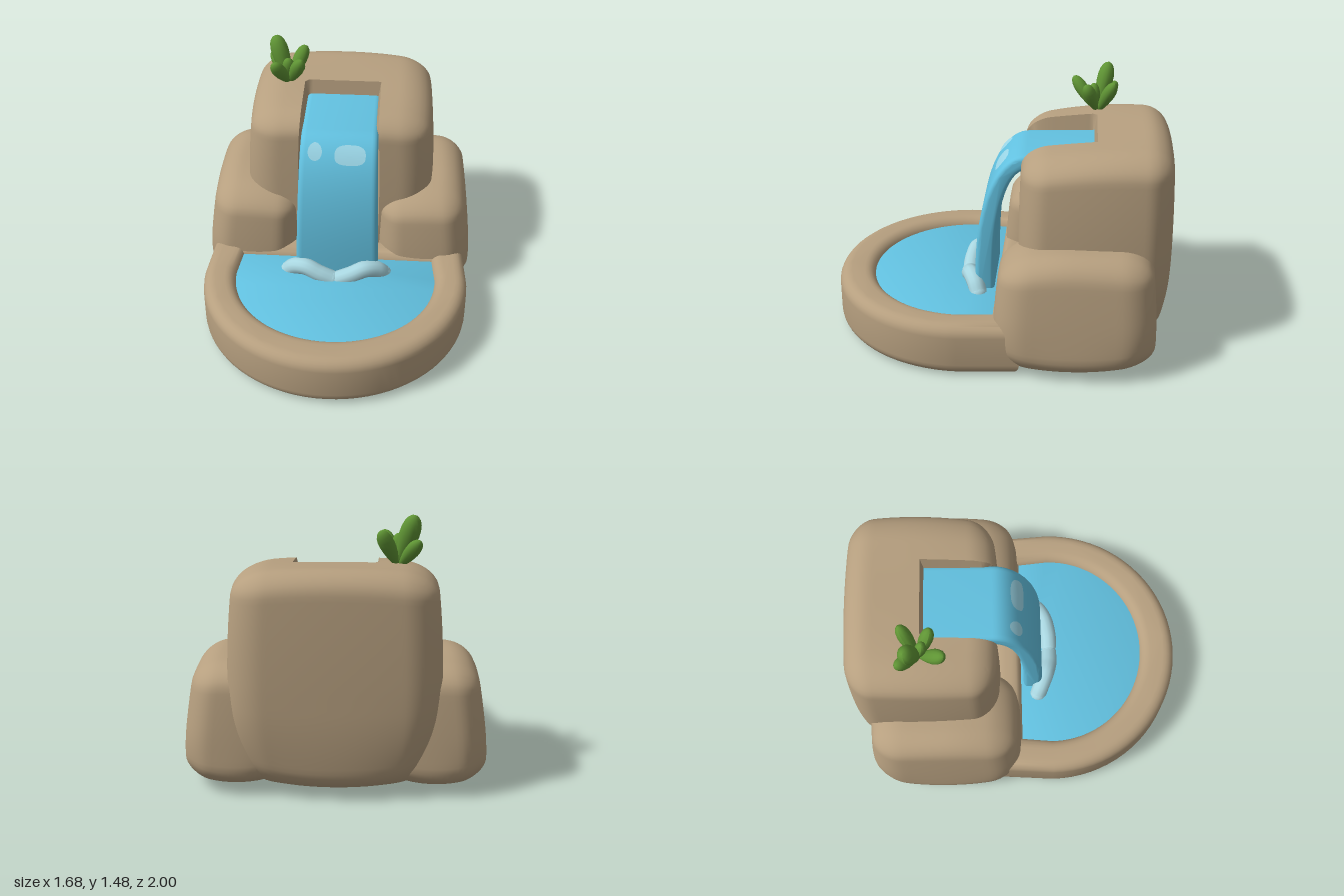
import * as THREE from 'three';
import { toCreasedNormals } from 'three/addons/utils/BufferGeometryUtils.js';

const { clamp } = THREE.MathUtils;

const mat = (name, color) => {
  const m = new THREE.MeshStandardMaterial({ color });
  m.name = name;
  return m;
};

function deform(geo, fn) {
  const pos = geo.attributes.position, v = new THREE.Vector3();
  for (let i = 0; i < pos.count; i++) {
    v.fromBufferAttribute(pos, i);
    fn(v);
    pos.setXYZ(i, v.x, v.y, v.z);
  }
  return geo;
}

// D-shaped pool outline in plan (x, z): straight back, elliptical front
function poolOutline(rx, rz, back) {
  const pts = [new THREE.Vector2(-rx * 0.97, back), new THREE.Vector2(rx * 0.97, back)];
  for (let i = 0; i <= 40; i++) {
    const a = (i / 40) * Math.PI;
    pts.push(new THREE.Vector2(rx * Math.cos(a), 0.2 + rz * Math.sin(a)));
  }
  return pts;
}

// Slab from a plan outline, with rounded top and bottom edges
function slab(shape, y0, y1, bevel) {
  const geo = new THREE.ExtrudeGeometry(shape, {
    depth: y1 - y0 - 2 * bevel, bevelSize: bevel, bevelThickness: bevel, bevelOffset: -bevel, bevelSegments: 6,
  });
  geo.rotateX(Math.PI / 2).translate(0, y1 - bevel, 0);
  return toCreasedNormals(geo, 0.8);
}

// Boulder: box between two corners with elliptical edge radii and worn corners, then shaped by a rule
function boulder(min, max, radii, segments, fn) {
  const lo = new THREE.Vector3(...min), hi = new THREE.Vector3(...max), r = new THREE.Vector3(...radii);
  const size = hi.clone().sub(lo), mid = hi.clone().add(lo).multiplyScalar(0.5);
  const geo = new THREE.BoxGeometry(size.x, size.y, size.z, ...segments).translate(mid.x, mid.y, mid.z);
  const coreLo = lo.clone().add(r), coreHi = hi.clone().sub(r), core = new THREE.Vector3();
  deform(geo, (v) => {
    core.copy(v).clamp(coreLo, coreHi);
    v.sub(core).divide(r).normalize().multiply(r).add(core);
    const n = v.clone().sub(mid).divide(size).multiplyScalar(2);
    const corner = (n.x * n.z) ** 2, low = Math.max(0, -n.y) ** 2;
    const shrink = 1 - corner * (0.05 + 0.16 * low);
    v.x = mid.x + (v.x - mid.x) * shrink;
    v.z = mid.z + (v.z - mid.z) * shrink;
    v.y += corner * (0.09 * low - 0.06 * Math.max(0, n.y) ** 2);
    fn(v);
  });
  return toCreasedNormals(geo, 0.8);
}

// Front and back faces of the falling sheet
const sheet = (y, reach, height, power) =>
  -0.15 + reach * Math.sqrt(Math.max(0, 1 - Math.max(0, (y - 0.3) / height) ** power));
const fallFront = (y) => sheet(y, 0.295, 0.81, 2.4);
const fallBack = (y) => sheet(y, 0.18, 0.72, 2.5);

export function createModel() {
  const model = new THREE.Group();
  model.name = 'waterfallFountain';
  const rock = mat('rock', 0xb69f7f);
  const water = mat('water', 0x62c1e0);
  const foam = mat('foam', 0xa9d6e0);
  const glintBlue = mat('glint', 0x9ad5e6);
  const leafGreen = mat('leafGreen', 0x5f9434);
  const add = (name, geo, material, parent = model) => {
    const mesh = new THREE.Mesh(geo, material);
    mesh.name = name;
    parent.add(mesh);
    return mesh;
  };

  // Pool: rim, floor and water
  const rim = new THREE.Shape(poolOutline(0.8, 0.796, -0.15));
  rim.holes.push(new THREE.Path(poolOutline(0.6, 0.575, 0.02)));
  add('poolRim', slab(rim, 0, 0.312, 0.07), rock);
  add('poolFloor', slab(new THREE.Shape(poolOutline(0.735, 0.73, -0.085)), 0, 0.12, 0.005), rock);
  add('poolWater', slab(new THREE.Shape(poolOutline(0.65, 0.62, -0.03)), 0.2, 0.268, 0.002), water);

  // Tall central rock: tapered, sloping forward, with a channel cut into its front
  add('centralRock', boulder([-0.58, 0.035, -1], [0.58, 1.245, -0.11], [0.2, 0.12, 0.16], [46, 40, 36], (v) => {
    const inChannel = Math.abs(v.x) < 0.237;
    const up = Math.max(0, (v.y - 0.6) / 0.64), down = Math.max(0, (0.5 - v.y) / 0.5);
    const t = clamp((v.z + 0.9) / 0.78, 0, 1);
    v.y -= 0.07 * t * Math.min(1, up) + 0.1 * Math.max(0, Math.abs(v.x) - 0.25) ** 2 * up;
    if (inChannel && v.z > -0.55) v.y = Math.min(v.y, 1.06);
    if (inChannel) v.z = Math.min(v.z, -0.18);
    v.x *= 1 - 0.07 * up * up - 0.1 * down * down;
    v.z = -0.5 + (v.z + 0.5) * (1 - 0.04 * up * up - 0.1 * down * down);
  }), rock);

  // Lower rocks on both sides, leaning inward
  for (const side of [1, -1]) {
    const x0 = side > 0 ? 0.24 : -0.845;
    add(side > 0 ? 'leftRock' : 'rightRock', boulder(
      [x0, 0.015, -0.92], [x0 + 0.605, 0.71, 0.015], [0.16, 0.12, 0.19], [20, 20, 24], (v) => {
        const t = clamp(v.y / 0.7, 0, 1), out = (Math.abs(v.x) - 0.24) / 0.6;
        const f = Math.max(0, v.z + 0.45) / 0.45;
        v.x -= side * out * 0.08 * t ** 1.5;
        v.y += 0.03 * Math.max(0, -v.z - 0.2) * (1 - t) - t * t * (0.05 * f * f + 0.03 * (1 - out) ** 2);
        v.z = -0.45 + (v.z + 0.45) * (1 - 0.1 * t * t);
      }), rock);
  }

  // Waterfall: side profile (z, y) swept across the width
  const profile = [new THREE.Vector2(-0.57, 1.0), new THREE.Vector2(-0.57, 1.125)];
  for (let i = 0; i <= 24; i++) {
    const y = 0.22 + 0.89 * Math.cos((i / 24) * Math.PI / 2);
    profile.push(new THREE.Vector2(fallFront(y), y));
  }
  for (let i = 0; i <= 20; i++) {
    const y = 0.22 + 0.8 * Math.sin((i / 20) * Math.PI / 2);
    profile.push(new THREE.Vector2(fallBack(y), y));
  }
  const fall = new THREE.ExtrudeGeometry(new THREE.Shape(profile), {
    depth: 0.4, bevelSize: 0.025, bevelThickness: 0.035, bevelOffset: -0.025, bevelSegments: 4,
  });
  fall.rotateY(-Math.PI / 2).translate(0.2, 0, 0);
  deform(fall, (v) => { v.x = v.x * (0.97 + 0.12 * (1.1 - v.y)) + 0.006; });
  add('waterfall', toCreasedNormals(fall, 0.8), water);

  // Pale glints lying on the curve of the fall
  for (const [x, y, rx, ry, power] of [[-0.133, 1.033, 0.042, 0.042, 1], [0.075, 1.02, 0.092, 0.048, 0.7]]) {
    const glint = deform(new THREE.RingGeometry(0.001, 1, 28, 5), (v) => {
      const r = Math.hypot(v.x, v.y), soft = (n) => Math.sign(n) * Math.abs(n) ** power;
      v.x = x + rx * r * soft(v.x / r);
      v.y = y + ry * r * soft(v.y / r);
      v.z = fallFront(v.y) + 0.006;
      v.y += 0.006;
    });
    glint.computeVertexNormals();
    add('glint', glint, glintBlue);
  }

  // Arched foam humps where the fall meets the pool
  for (const side of [1, -1]) {
    const path = new THREE.CatmullRomCurve3([
      [0.02, 0.25, 0.195], [0.1, 0.285, 0.19], [0.18, 0.316, 0.17], [0.25, 0.295, 0.14], [0.29, 0.25, 0.12],
    ].map(([x, y, z]) => new THREE.Vector3(x * side, y, z)));
    add('foamHump', new THREE.TubeGeometry(path, 20, 0.052, 12), foam);
    for (const t of [0, 1]) {
      add('foamTip', new THREE.SphereGeometry(0.052, 14, 10).translate(...path.getPoint(t).toArray()), foam);
    }
  }

  // Plant: plump paddle-shaped leaves fanning from one root
  const plant = new THREE.Group();
  plant.name = 'plant';
  plant.position.set(-0.335, 1.19, -0.555);
  model.add(plant);
  const up = new THREE.Vector3(0, 1, 0);
  for (const [x, y, z, w] of [
    [-0.085, 0.29, -0.06, 0.064], [0.1, 0.21, -0.095, 0.05], [0.085, 0.19, 0.075, 0.05],
    [-0.075, 0.2, 0.15, 0.05], [-0.11, 0.16, -0.11, 0.046], [0.0, 0.18, 0.03, 0.042],
  ]) {
    const tip = new THREE.Vector3(x, y, z), len = tip.length();
    const geo = deform(new THREE.SphereGeometry(1, 14, 12), (v) => {
      const k = 0.8 + 0.35 * v.y;
      v.set(v.x * w * k, (v.y + 1) * len / 2, v.z * w * 0.9 * k);
    });
    geo.computeVertexNormals();
    add('leaf', geo, leafGreen, plant).quaternion.setFromUnitVectors(up, tip.normalize());
  }
  return model;
}
